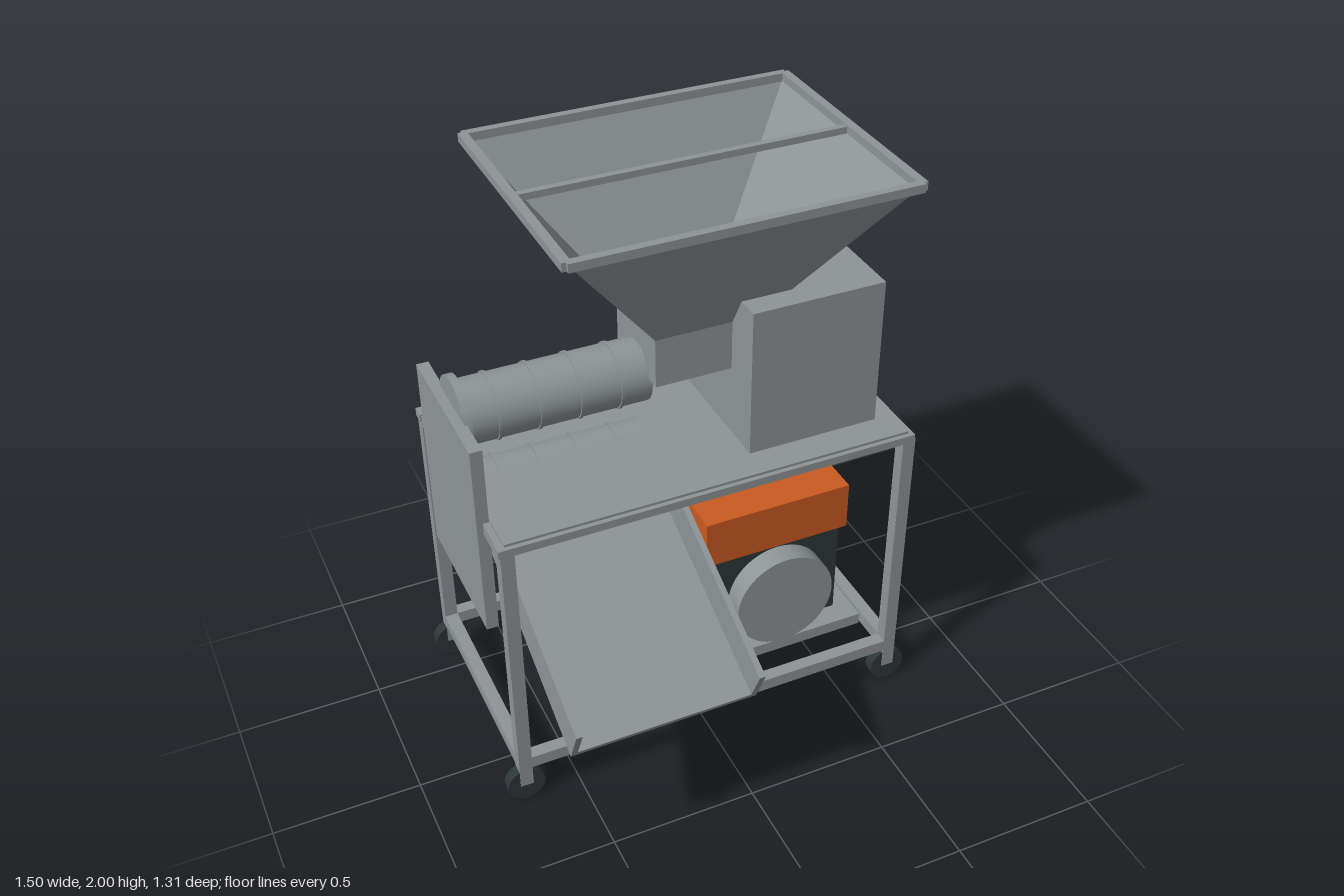
import * as THREE from 'three';

const mat = (name, color) => {
  const m = new THREE.MeshStandardMaterial({ color });
  m.name = name;
  return m;
};

export function createModel() {
  const steel = mat('steel grey', 0x8e9596);
  const sheet = mat('sheet steel', 0x8e9596);
  sheet.side = THREE.DoubleSide;
  const dark = mat('dark motor grey', 0x2d3735);
  const orange = mat('orange', 0xcb5a22);
  const green = mat('green', 0x4a6340);

  const root = new THREE.Group();
  root.name = 'hopperMachine';
  const midZ = -0.205;

  const add = (name, geo, material, parent = root) => {
    const m = new THREE.Mesh(geo, material);
    m.name = name;
    parent.add(m);
    return m;
  };
  // box given by its minimum and maximum on each axis
  const box = (name, [x0, x1], [y0, y1], [z0, z1], material = steel, parent = root) =>
    add(name, new THREE.BoxGeometry(x1 - x0, y1 - y0, z1 - z0)
      .translate((x0 + x1) / 2, (y0 + y1) / 2, (z0 + z1) / 2), material, parent);
  const group = (name) => {
    const g = new THREE.Group();
    g.name = name;
    root.add(g);
    return g;
  };

  // frame: legs, wheels and rails
  const frame = group('frame');
  const legX = 0.6875, legZ = 0.388, h = 0.0225;
  for (const sx of [-1, 1]) {
    for (const sz of [-1, 1]) {
      const x = sx * legX, z = midZ + sz * legZ;
      box('leg', [x - h, x + h], [0.065, 1.06], [z - h, z + h], steel, frame);
      const wheel = add('wheel', new THREE.CylinderGeometry(0.065, 0.065, 0.04, 32).rotateX(Math.PI / 2), dark, frame);
      wheel.position.set(x, 0.066, z);
    }
    const x = sx * legX;
    const span = [midZ - legZ + h, midZ + legZ - h];
    box('sideTopRail', [x - h, x + h], [1.03, 1.072], [span[0] - 0.04, span[1] + 0.04], steel, frame);
    box('sideBottomRail', [x - h, x + h], [0.14, 0.185], span, steel, frame);
  }
  for (const sz of [-1, 1]) {
    const z = midZ + sz * legZ;
    box('longTopRail', [-0.715, 0.707], [1.048, 1.076], [z - h, z + h], steel, frame);
    box('longBottomRail', [-legX + h, legX - h], [0.14, 0.185], [z - h, z + h], steel, frame);
  }
  box('tableTop', [-0.69, 0.69], [1.06, 1.085], [-0.6, 0.19], steel, frame);

  // drive housing with a cap, and the throat below the hopper
  box('housing', [0.17, 0.625], [1.085, 1.6], [-0.488, 0.085]);
  add('cap', new THREE.CylinderGeometry(0.061, 0.061, 0.05, 24), green).position.set(0.395, 1.62, midZ);
  box('throat', [-0.09, 0.26], [1.325, 1.495], [-0.36, -0.055]);

  // hopper: a four-sided funnel whose vertices are set by level
  const hopper = group('hopper');
  const funnel = new THREE.CylinderGeometry(Math.SQRT1_2, Math.SQRT1_2, 1, 4, 1, true)
    .rotateY(Math.PI / 4).toNonIndexed();
  const p = funnel.attributes.position;
  for (let i = 0; i < p.count; i++) {
    const top = p.getY(i) > 0;
    p.setXYZ(i, 0.086 + p.getX(i) * (top ? 1.085 : 0.352), top ? 1.985 : 1.495,
      -0.2075 + p.getZ(i) * (top ? 0.86 : 0.305));
  }
  funnel.computeVertexNormals();
  add('funnel', funnel, sheet, hopper);
  const rimY = [1.972, 2];
  for (const z of [[-0.655, -0.628], [0.211, 0.238]]) box('rimLong', [-0.463, 0.636], rimY, z, steel, hopper);
  for (const x of [[-0.477, -0.448], [0.62, 0.649]]) box('rimSide', x, rimY, [-0.643, 0.226], steel, hopper);
  box('crossBar', [-0.46, 0.63], [1.973, 1.995], [-0.22, -0.198], steel, hopper);

  // two ribbed rollers and their end plate
  for (const [name, y] of [['upperRoller', 1.305], ['lowerRoller', 0.992]]) {
    const roller = group(name);
    roller.position.set(0, y, -0.207);
    const disc = (part, r, x0, x1) => add(part,
      new THREE.CylinderGeometry(r, r, x1 - x0, 40).rotateZ(Math.PI / 2).translate((x0 + x1) / 2, 0, 0), steel, roller);
    disc('drum', 0.105, -0.69, -0.08);
    disc('flange', y > 1.2 ? 0.125 : 0.12, -0.698, -0.672);
    for (const x of [-0.58, -0.447, -0.314, -0.18]) disc('rib', 0.11, x - 0.005, x + 0.005);
  }
  box('endPlate', [-0.73, -0.69], [0.65, 1.34], [-0.468, 0.053]);

  // sloping discharge chute
  const chute = group('chute');
  chute.position.set(-0.356, 0.786, 0.293);
  chute.rotation.x = 0.427;
  const len = [-0.366, 0.366];
  box('chuteFloor', [-0.3, 0.3], [-0.0725, -0.0525], len, steel, chute);
  for (const s of [-1, 1]) {
    const x = s * 0.2965;
    box('chuteWall', [x - 0.01, x + 0.01], [-0.0725, 0.0725], len, steel, chute);
  }

  // motor on its base with a drive pulley
  const motor = group('motor');
  box('motorBase', [0.003, 0.608], [0.222, 0.265], [-0.488, 0.117], steel, motor);
  box('motorBody', [0.07, 0.545], [0.265, 0.625], [-0.447, 0.037], dark, motor);
  box('motorCover', [0.043, 0.573], [0.625, 0.8], [-0.452, 0.043], orange, motor);
  add('pulley', new THREE.CylinderGeometry(0.18, 0.18, 0.077, 48).rotateX(Math.PI / 2), steel, motor)
    .position.set(0.307, 0.44, 0.0785);

  return root;
}
